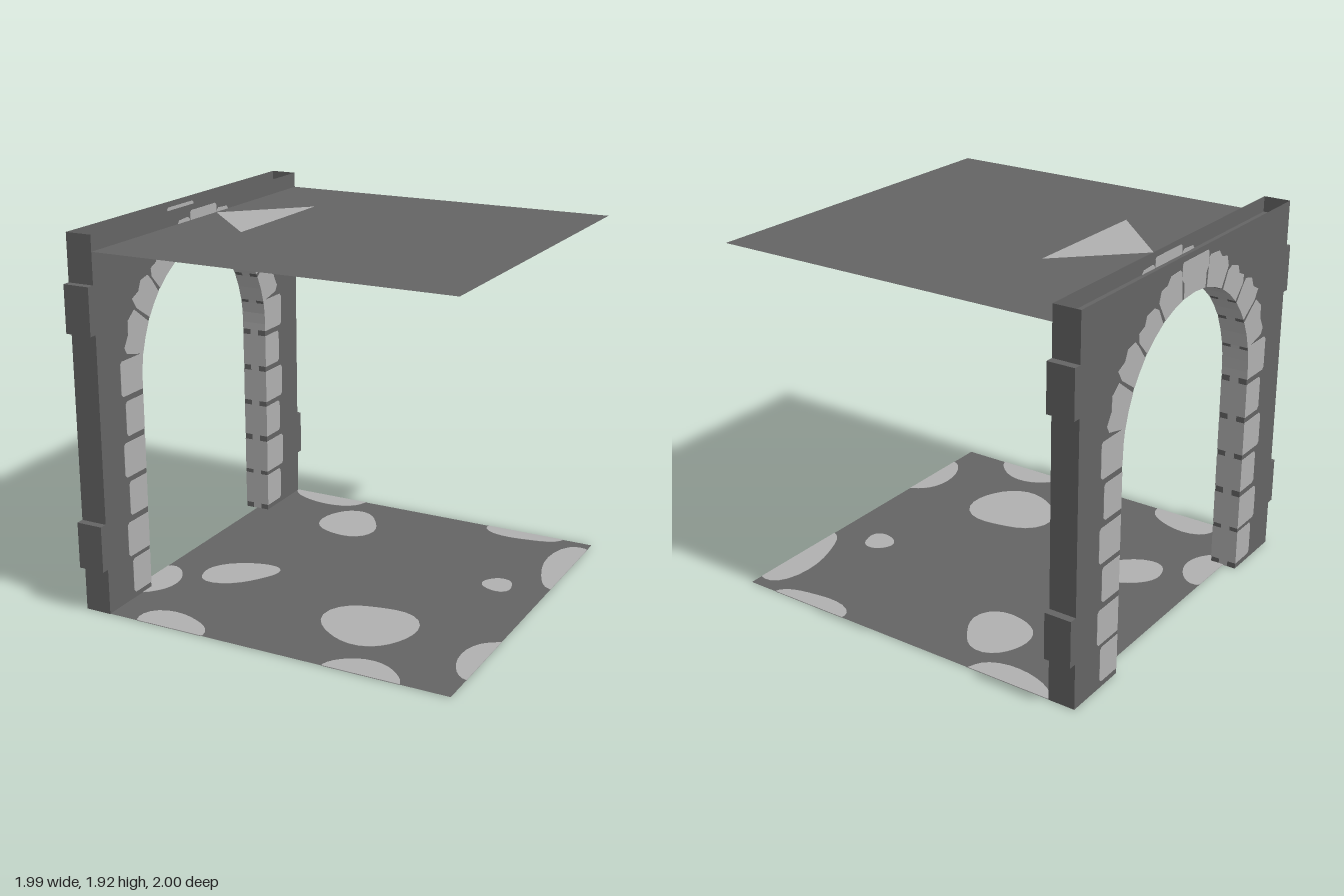
import * as THREE from 'three';

const OUT = -0.995, IN = -0.855, END = 0.96, TOP = 1.92; // wall extents
const R = 0.6, SPRING = 1.12;                            // arch opening
const FLOOR_Y = 0.002, ROOF_Y = 1.84;
const X0 = -0.925, X1 = 0.995;                           // floor and roof extents

// Point on the arch: angle in degrees from the crown, given radius
const polar = (deg, r) => {
  const a = THREE.MathUtils.degToRad(deg);
  return [r * Math.sin(a), SPRING + r * Math.cos(a)];
};
const toShape = pts => new THREE.Shape(pts.map(p => new THREE.Vector2(p[0], p[1])));

// Jamb stones: bottom, top, outer edge
const jambs = [
  [0.03, 0.215, 0.75], [0.237, 0.42, 0.78], [0.452, 0.632, 0.75],
  [0.66, 0.84, 0.78], [0.87, 1.05, 0.75], [1.08, 1.26, 0.78],
];
// Arch stones: lower angle, upper angle, ragged outer edge as [angle, radius]
const voussoirs = [
  [77, 61.5, [[77, 0.74], [75, 0.765], [70, 0.75], [65, 0.775], [60, 0.745]]],
  [59.5, 46, [[59, 0.73], [57, 0.785], [53, 0.755], [49, 0.77], [45, 0.735], [45, 0.69]]],
  [44, 28, [[44, 0.7], [42, 0.735], [38, 0.72], [35, 0.745], [30, 0.725], [28, 0.69]]],
  [26, 11, [[27, 0.715], [24, 0.755], [20, 0.745], [17, 0.77], [11, 0.755], [10, 0.74]]],
];

// Half of the opening outline, from the floor to the crown: [z, y, joint above?]
function openingHalf() {
  const pts = [[R, 0, true]];
  jambs.slice(0, 5).forEach(([a, b]) => pts.push([R, a, false], [R, b, true]));
  pts.push([R, 1.08, false], [R, SPRING, false]);
  const arc = (from, to, n) => {
    for (let i = 0; i < n; i++) pts.push([...polar(from + (to - from) * i / n, R), false]);
  };
  pts.pop();
  arc(90, 78.5, 2);
  pts.push([...polar(78.5, R), true]);
  voussoirs.forEach(([a, b]) => {
    arc(a, b, 2);
    pts.push([...polar(b, R), true]);
  });
  pts.push([...polar(9.5, R), false], [0, SPRING + R, false]);
  return pts;
}

// Outlines of all stones on one wall face
function stoneShapes() {
  const shapes = [];
  const c = 0.014;
  for (const s of [1, -1]) {
    const add = pts => shapes.push(toShape(pts.map(([z, y]) => [z * s, y])));
    jambs.forEach(([a, b, o]) => {
      const inner = b > SPRING ? [[0.585, b], [0.596, 1.19], [R, SPRING]] : [[R, b]];
      add([[R, a], [o - c, a], [o, a + c], [o, b - c], [o - c, b], ...inner]);
    });
    voussoirs.forEach(([a, b, outer]) => {
      const inner = [b, (a + b) / 2, a].map(t => polar(t, R));
      add([...outer.map(([t, r]) => polar(t, r)), ...inner]);
    });
  }
  shapes.push(toShape([
    [-0.1, 1.712], [0, 1.72], [0.1, 1.712], [0.105, 1.79], [0.123, 1.81], [0.123, 1.88],
    [0.112, 1.89], [-0.112, 1.89], [-0.123, 1.88], [-0.123, 1.81], [-0.105, 1.79],
  ]));
  return shapes;
}

// Inner surface of the opening, returned as stone and joint geometry
function revealGeometries(half) {
  const lists = { stone: [], joint: [] };
  const cols = [OUT, -0.95, -0.9, IN];
  for (const s of [1, -1]) {
    for (let i = 0; i < half.length - 1; i++) {
      const [z0, y0, joint] = half[i], [z1, y1] = half[i + 1];
      for (let k = 0; k < 3; k++) {
        const a = [cols[k], y0, z0 * s], b = [cols[k + 1], y0, z0 * s];
        const d = [cols[k + 1], y1, z1 * s], e = [cols[k], y1, z1 * s];
        const quad = s > 0 ? [a, b, d, a, d, e] : [a, d, b, a, e, d];
        lists[joint && k !== 1 ? 'joint' : 'stone'].push(...quad.flat());
      }
    }
  }
  const build = list => {
    const g = new THREE.BufferGeometry();
    g.setAttribute('position', new THREE.Float32BufferAttribute(list, 3));
    g.computeVertexNormals();
    return g;
  };
  return [build(lists.stone), build(lists.joint)];
}

// Irregular floor patch, kept inside the floor
function patchShape([x, z, rx, rz, turn], seed) {
  const pts = [];
  for (let i = 0; i < 28; i++) {
    const a = i / 28 * Math.PI * 2;
    const w = 1 + 0.07 * Math.sin(2 * a + seed) + 0.06 * Math.sin(3 * a + seed * 2.3);
    const u = Math.cos(a) * rx * w, v = Math.sin(a) * rz * w;
    const px = x + u * Math.cos(turn) - v * Math.sin(turn);
    const pz = z + u * Math.sin(turn) + v * Math.cos(turn);
    pts.push([THREE.MathUtils.clamp(px, X0, X1), -THREE.MathUtils.clamp(pz, -END, END)]);
  }
  return toShape(pts);
}

export function createModel() {
  const group = new THREE.Group();
  const makeMat = (name, color) => {
    const m = new THREE.MeshStandardMaterial({ color, side: THREE.DoubleSide });
    m.name = name;
    return m;
  };
  const dark = makeMat('dark grey stone', 0x646464);
  const light = makeMat('light grey stone', 0xb0b0b0);
  const add = (name, geo, mat, x = 0, y = 0, z = 0) => {
    const m = new THREE.Mesh(geo, mat);
    m.name = name;
    m.position.set(x, y, z);
    group.add(m);
    return m;
  };

  // Hollow wall: two faces with an arched opening, open at top and bottom
  const half = openingHalf();
  const mirrored = half.slice(0, -1).reverse().map(([z, y]) => [-z, y]);
  const face = new THREE.ShapeGeometry(toShape([
    [END, 0], [END, TOP], [-END, TOP], [-END, 0], ...[...half, ...mirrored].reverse(),
  ])).rotateY(-Math.PI / 2);
  const stones = new THREE.ExtrudeGeometry(stoneShapes(), { depth: 0.004, bevelEnabled: false })
    .translate(0, 0, -0.002).rotateY(-Math.PI / 2);
  for (const [side, x] of [['outer', OUT], ['inner', IN]]) {
    add(side + 'WallFace', face, dark, x);
    add(side + 'ArchStones', stones, light, x);
  }
  const [revealStone, revealJoint] = revealGeometries(half);
  add('archRevealStones', revealStone, light);
  add('archRevealJoints', revealJoint, dark);

  // Wall ends with projecting blocks
  const mid = (OUT + IN) / 2, thick = IN - OUT;
  for (const s of [1, -1]) {
    const end = add('wallEnd', new THREE.PlaneGeometry(thick, TOP), dark, mid, TOP / 2, s * END);
    if (s < 0) end.rotation.y = Math.PI;
    for (const y of [0.36, 1.56]) {
      add('endBlock', new THREE.BoxGeometry(thick, 0.24, 0.04), dark, mid, y, s * 0.98);
    }
  }

  // Floor and roof sheets
  const sheet = new THREE.PlaneGeometry(X1 - X0, END * 2).rotateX(-Math.PI / 2);
  add('floor', sheet, dark, (X0 + X1) / 2, FLOOR_Y);
  add('roof', sheet, dark, (X0 + X1) / 2, ROOF_Y);

  // Floor patches: x, z, radii, turn
  const patches = [
    [-0.336, -0.627, 0.17, 0.18, 0], [0.348, 0.482, 0.23, 0.23, 0],
    [-0.54, 0.244, 0.21, 0.12, -0.6], [0.731, -0.242, 0.085, 0.075, 0],
    [0.99, -0.62, 0.14, 0.3, 0], [0.6, -0.97, 0.21, 0.12, 0],
    [-0.61, -0.97, 0.24, 0.13, 0], [-0.52, 0.95, 0.2, 0.15, 0],
    [0.54, 0.95, 0.19, 0.14, 0], [1, 0.56, 0.12, 0.22, 0],
    [-0.88, 0.51, 0.12, 0.17, 0],
  ];
  const patchGeo = new THREE.ExtrudeGeometry(patches.map((p, i) => patchShape(p, i * 1.7)),
    { depth: 0.004, bevelEnabled: false }).translate(0, 0, -0.002).rotateX(-Math.PI / 2);
  add('floorPatches', patchGeo, light, 0, FLOOR_Y);

  // Triangular pointer floating just above the roof
  const tri = new THREE.ShapeGeometry(toShape([[-0.775, 0], [-0.405, -0.37], [-0.405, 0.37]]));
  add('roofPointer', tri.rotateX(-Math.PI / 2), light, 0, 1.866);

  return group;
}
